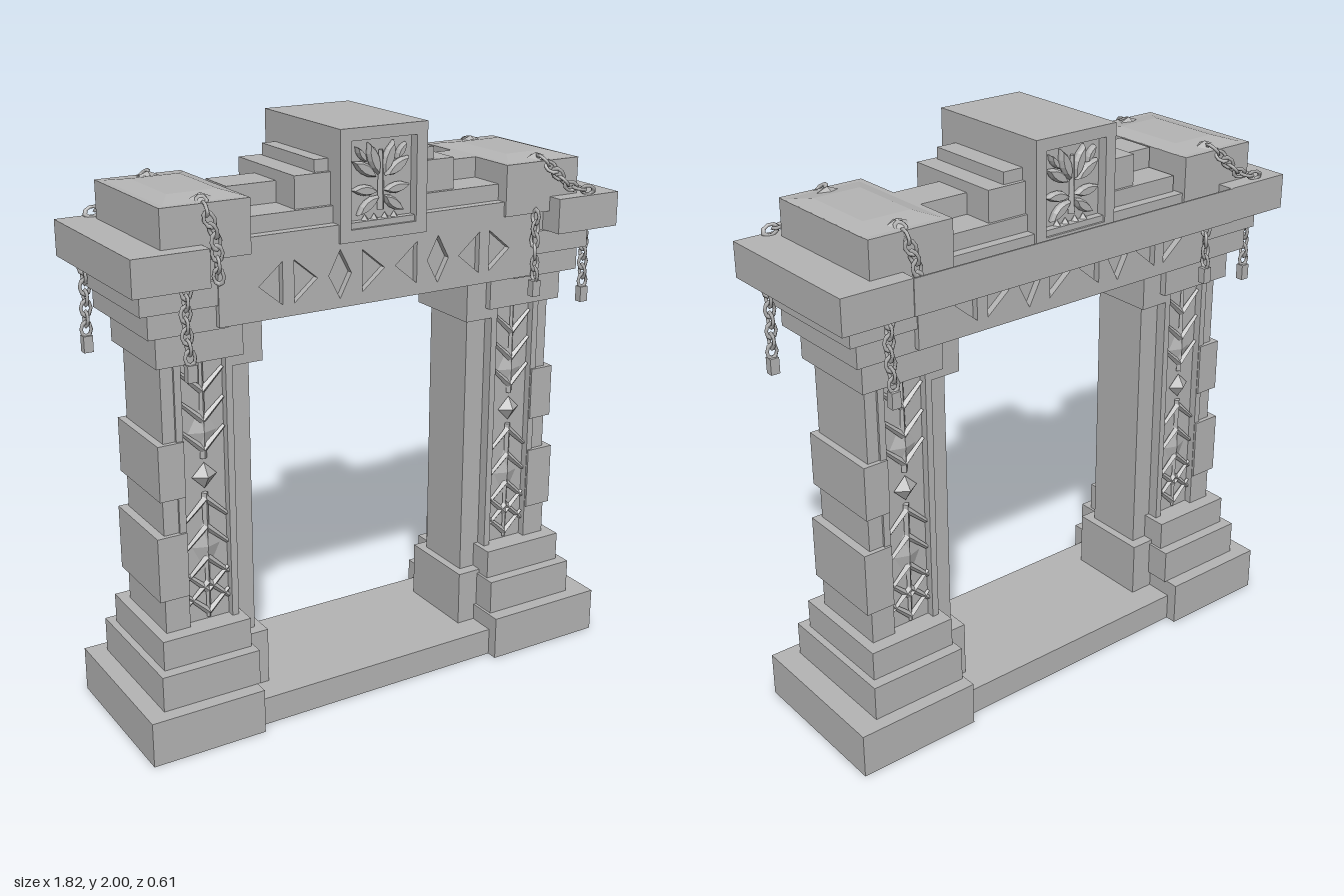
import * as THREE from 'three';

const stone = new THREE.MeshStandardMaterial({ color: 0xb4b4b4 });
stone.name = 'stone';

function add(parent, name, geo) {
  const mesh = new THREE.Mesh(geo, stone);
  mesh.name = name;
  parent.add(mesh);
  return mesh;
}

// Box given by its bounds
function box(parent, name, x0, x1, y0, y1, z0, z1) {
  const a = Math.min(x0, x1), b = Math.max(x0, x1);
  const m = add(parent, name, new THREE.BoxGeometry(b - a, y1 - y0, z1 - z0));
  m.position.set((a + b) / 2, (y0 + y1) / 2, (z0 + z1) / 2);
  return m;
}

function polygon(points, Type = THREE.Shape) {
  return new Type(points.map(p => new THREE.Vector2(p[0], p[1])));
}

const rect = (x0, x1, y0, y1) => [[x0, y0], [x1, y0], [x1, y1], [x0, y1]];

// Carved rib with a ridged section, lying in a z plane
function rib(parent, x0, y0, x1, y1, z, r = 0.012) {
  const g = new THREE.CylinderGeometry(r * 0.6, r, Math.hypot(x1 - x0, y1 - y0), 4).toNonIndexed();
  g.computeVertexNormals();
  const m = add(parent, 'carvedRib', g);
  m.position.set((x0 + x1) / 2, (y0 + y1) / 2, z);
  m.rotation.z = Math.atan2(y1 - y0, x1 - x0) - Math.PI / 2;
}

// Faceted diamond boss
function diamond(parent, x, y, z, w, h, d) {
  const m = add(parent, 'diamondBoss', new THREE.OctahedronGeometry(1));
  m.position.set(x, y, z);
  m.scale.set(w, h, d);
}

// Adds a part to the front and its half-turned copy to the back
function frontAndBack(parent, part) {
  parent.add(part);
  const back = part.clone();
  back.rotation.y = Math.PI;
  parent.add(back);
}

// Chain of alternating links along a path, with an optional weight
function chain(parent, points, weight) {
  const g = new THREE.Group();
  g.name = 'chain';
  const curve = new THREE.CatmullRomCurve3(points.map(p => new THREE.Vector3(...p)));
  const n = Math.max(3, Math.round(curve.getLength() / 0.038));
  const link = new THREE.TorusGeometry(0.016, 0.006, 5, 8);
  link.scale(1, 1.5, 1);
  for (let i = 0; i <= n; i++) {
    const m = add(g, 'chainLink', link);
    m.position.copy(curve.getPointAt(i / n));
    m.quaternion.setFromUnitVectors(new THREE.Vector3(0, 1, 0), curve.getTangentAt(i / n));
    m.rotateY(i % 2 ? Math.PI / 2 : 0.2);
  }
  if (weight) {
    const [x, y, z] = points[points.length - 1];
    box(g, 'chainWeight', x - 0.016, x + 0.016, y - 0.075, y - 0.02, z - 0.014, z + 0.014);
  }
  parent.add(g);
}

// Sunk panel of chevrons for the face of one shaft
function shaftPanel(cx) {
  const g = new THREE.Group();
  g.name = 'shaftPanel';
  for (const s of [-1, 1]) {
    box(g, 'panelEdge', cx + s * 0.078, cx + s * 0.102, 0.39, 1.31, 0.1, 0.15);
    for (const y of [1.2, 1.1, 1.0, 0.5, 0.42]) rib(g, cx, y, cx + s * 0.075, y + 0.07, 0.132);
    for (const y of [0.83, 0.73, 0.62, 0.53]) rib(g, cx, y, cx + s * 0.075, y - 0.07, 0.132);
  }
  rib(g, cx, 0.97, cx, 1.3, 0.13);
  rib(g, cx, 0.85, cx, 0.4, 0.13);
  diamond(g, cx, 0.91, 0.13, 0.045, 0.045, 0.03);
  diamond(g, cx, 0.66, 0.125, 0.05, 0.1, 0.018);
  diamond(g, cx, 1.06, 0.125, 0.05, 0.09, 0.018);
  return g;
}

// One pier from plinth to parapet; s is the side
function pier(s) {
  const g = new THREE.Group();
  g.name = s > 0 ? 'leftPier' : 'rightPier';
  const b = (name, x0, x1, y0, y1, z) => box(g, name, s * x0 - 0.01, s * x1 - 0.01, y0, y1, -z, z);
  box(g, 'plinth', s > 0 ? 0.46 : -0.5, s * 0.91, 0, 0.16, -0.29, 0.29);
  b('lowerStep', 0.48, 0.835, 0.16, 0.285, 0.24);
  b('upperStep', 0.49, 0.81, 0.285, 0.39, 0.2);
  b('innerBase', 0.4, 0.5, 0.1, 0.3, 0.15);
  b('innerPilaster', 0.43, 0.53, 0.3, 1.28, 0.11);
  b('innerCapital', 0.4, 0.52, 1.27, 1.43, 0.15);
  b('shaft', 0.51, 0.7, 0.39, 1.31, 0.122);
  // Alternating outer blocks
  [[0.39, 0.51, 0.775, 0.15], [0.51, 0.735, 0.795, 0.158], [0.735, 0.86, 0.765, 0.142],
    [0.86, 1.05, 0.78, 0.158], [1.05, 1.31, 0.755, 0.142]]
    .forEach(([y0, y1, x, z]) => b('outerBlock', 0.69, x, y0, y1, z));
  b('capital', 0.48, 0.78, 1.31, 1.43, 0.175);
  b('lowerMoulding', 0.55, 0.82, 1.42, 1.5, 0.215);
  b('upperMoulding', 0.55, 0.85, 1.5, 1.58, 0.23);
  box(g, 'cornice', s * 0.655, s * 0.91, 1.58, 1.7, -0.305, 0.3);
  b('parapetBlock', 0.48, 0.78, 1.65, 1.825, 0.245);
  // Worn crown of the parapet
  const crown = new THREE.CylinderGeometry(0.12, 0.2, 0.015, 4, 1).rotateY(Math.PI / 4).toNonIndexed();
  crown.computeVertexNormals();
  const m = add(g, 'parapetCrown', crown);
  m.position.set(s * 0.63, 1.832, 0);
  m.scale.z = 1.6;
  const panel = shaftPanel(s * 0.61 - 0.01);
  g.add(panel);
  const back = shaftPanel(-(s * 0.61 - 0.01));
  back.rotation.y = Math.PI;
  g.add(back);
  return g;
}

// Frieze with abstract sunk triangles and lozenges
function frieze() {
  const shape = polygon(rect(-0.6, 0.6, 1.43, 1.65));
  for (let i = 0; i < 8; i++) {
    const x = -0.42 + i * 0.125, w = 0.042, d = i % 2 ? 1 : -1;
    const pts = i % 3 === 2
      ? [[x, 1.46], [x + w, 1.54], [x, 1.62], [x - w, 1.54]]
      : [[x - d * w, 1.47], [x + d * w, 1.54], [x - d * w, 1.61]];
    shape.holes.push(polygon(pts, THREE.Path));
  }
  const g = new THREE.Group();
  g.name = 'frieze';
  add(g, 'friezeFace', new THREE.ExtrudeGeometry(shape, { depth: 0.025, bevelEnabled: false })).position.z = 0.21;
  return g;
}

// Keystone face: raised frame around mirrored foliage
function foliagePanel() {
  const g = new THREE.Group();
  g.name = 'foliagePanel';
  const frame = polygon(rect(-0.1625, 0.1625, -0.18, 0.18));
  frame.holes.push(polygon(rect(-0.122, 0.122, -0.14, 0.14), THREE.Path));
  add(g, 'panelFrame', new THREE.ExtrudeGeometry(frame, { depth: 0.035, bevelEnabled: false }));
  const leaf = new THREE.Shape();
  leaf.moveTo(0, 0);
  leaf.quadraticCurveTo(0.028, 0.04, 0, 0.085);
  leaf.quadraticCurveTo(-0.022, 0.04, 0, 0);
  const leafGeo = new THREE.ExtrudeGeometry(leaf, {
    depth: 0.008, bevelThickness: 0.012, bevelSize: 0.006, bevelSegments: 1, curveSegments: 4,
  });
  for (const s of [-1, 1]) {
    [[0.012, 0.03, 0.35, 1.1], [0.025, 0.02, 1.0, 1], [0.02, -0.03, 1.45, 0.95],
      [0.015, -0.05, 2.2, 0.95], [0.06, 0.07, 0.6, 0.6]].forEach(([x, y, a, k]) => {
      const m = add(g, 'leaf', leafGeo);
      m.position.set(s * x, y, 0.005);
      m.rotation.z = -s * a;
      m.scale.set(k, k, 1);
    });
    for (const x of [0.02, 0.055]) diamond(g, s * x, -0.12, 0.005, 0.014, 0.018, 0.02);
  }
  rib(g, 0, -0.09, 0, 0.1, 0.012, 0.014);
  return g;
}

export function createModel() {
  const gate = new THREE.Group();
  gate.name = 'stoneGate';

  gate.add(pier(-1), pier(1));
  box(gate, 'threshold', -0.5, 0.46, 0, 0.1, -0.25, 0.25);

  // Lintel and the stepped courses above it
  box(gate, 'lintel', -0.66, 0.66, 1.43, 1.65, -0.212, 0.212);
  frontAndBack(gate, frieze());
  box(gate, 'lintelCourse', -0.655, 0.655, 1.65, 1.7, -0.235, 0.235);
  box(gate, 'recessedCourse', -0.48, 0.49, 1.7, 1.755, -0.2, 0.2);
  box(gate, 'spine', -0.48, 0.5, 1.755, 1.825, -0.08, 0.065);
  box(gate, 'lowerKeystoneStep', -0.305, 0.295, 1.7, 1.86, -0.19, 0.185);
  box(gate, 'upperKeystoneStep', -0.225, 0.225, 1.86, 1.9, -0.175, 0.17);
  box(gate, 'backCornice', -0.66, 0.66, 1.58, 1.7, -0.308, -0.302);

  // Keystone with a carved panel on both faces
  box(gate, 'keystone', -0.175, 0.15, 1.64, 2, -0.208, 0.21);
  for (const s of [1, -1]) {
    const panel = foliagePanel();
    panel.position.set(-0.0125, 1.82, s > 0 ? 0.21 : -0.208);
    panel.rotation.y = s > 0 ? 0 : Math.PI;
    gate.add(panel);
  }

  // Chains and their anchors
  const chains = new THREE.Group();
  chains.name = 'chains';
  chain(chains, [[-0.64, 1.825, 0.22], [-0.645, 1.8, 0.262], [-0.62, 1.72, 0.265], [-0.61, 1.6, 0.26]], false);
  chain(chains, [[-0.72, 1.57, 0.262], [-0.725, 1.47, 0.262], [-0.715, 1.36, 0.262]], true);
  chain(chains, [[0.63, 1.825, 0.23], [0.66, 1.79, 0.262], [0.71, 1.74, 0.27], [0.79, 1.715, 0.28]], false);
  chain(chains, [[0.59, 1.64, 0.255], [0.585, 1.54, 0.262], [0.59, 1.44, 0.262]], true);
  chain(chains, [[0.87, 1.57, 0.18], [0.868, 1.47, 0.18], [0.872, 1.36, 0.18]], true);
  for (const x of [-0.63, 0.63]) diamond(chains, x, 1.826, 0.19, 0.05, 0.02, 0.04);
  frontAndBack(gate, chains);

  return gate;
}
